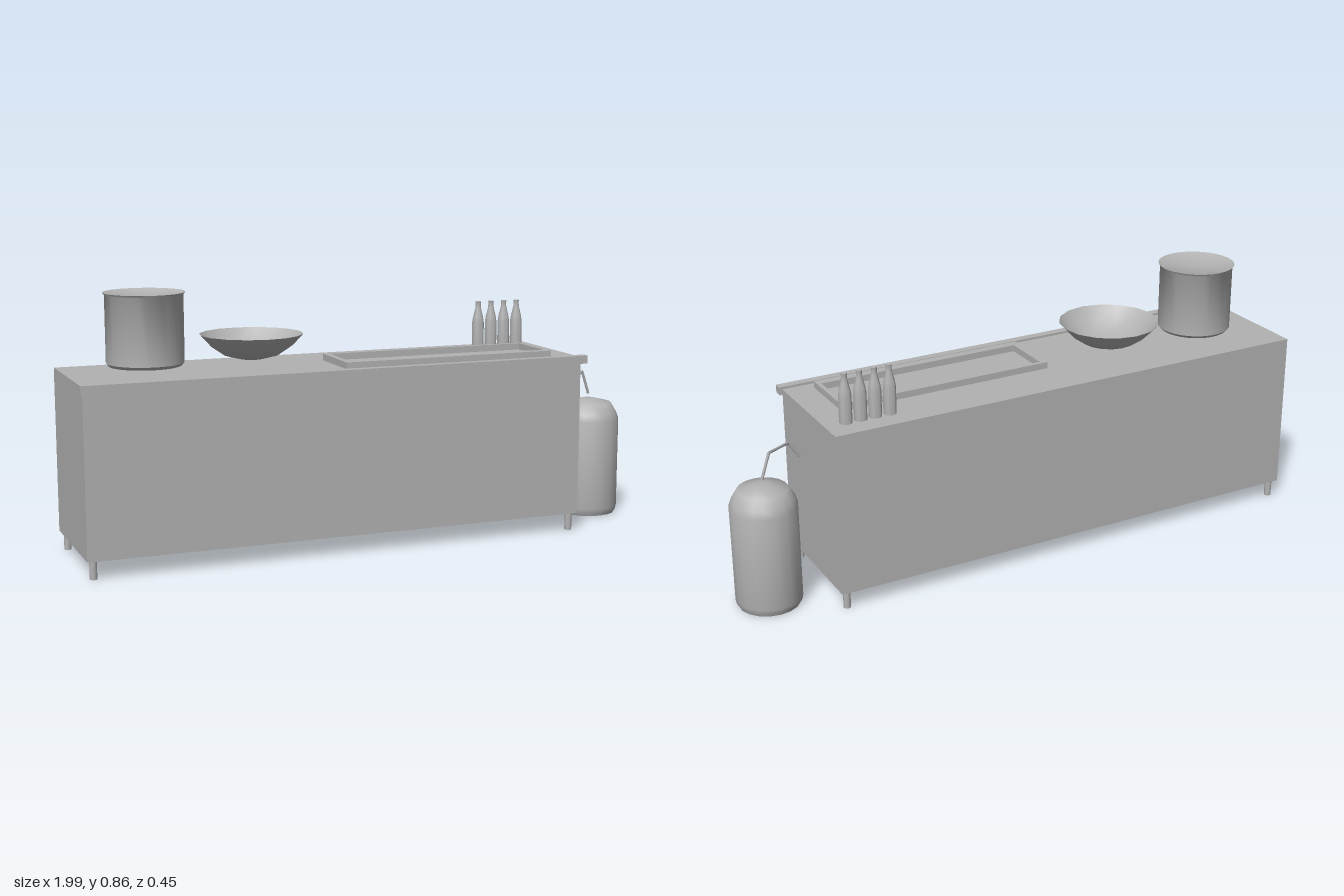
import * as THREE from 'three';
import { toCreasedNormals } from 'three/addons/utils/BufferGeometryUtils.js';

export function createModel() {
  const group = new THREE.Group();
  const steel = new THREE.MeshStandardMaterial({ color: 0xb2b2b2, side: THREE.DoubleSide });
  steel.name = 'brushed grey';

  const add = (name, geometry, x = 0, y = 0, z = 0) => {
    const mesh = new THREE.Mesh(geometry, steel);
    mesh.name = name;
    mesh.position.set(x, y, z);
    group.add(mesh);
    return mesh;
  };
  // Box given by its min and max corners
  const block = (name, [x0, y0, z0], [x1, y1, z1]) =>
    add(name, new THREE.BoxGeometry(x1 - x0, y1 - y0, z1 - z0),
      (x0 + x1) / 2, (y0 + y1) / 2, (z0 + z1) / 2);
  // Turned solid from [radius, height] pairs, listed bottom to top
  const turned = (profile, sides, crease = 0.7) => toCreasedNormals(
    new THREE.LatheGeometry(profile.map(([r, y]) => new THREE.Vector2(r, y)), sides), crease);

  // Counter cabinet, open underneath
  const cabinet = block('cabinet', [-0.99, 0.06, -0.225], [0.71, 0.602, 0.2]);
  const faces = Array.from(cabinet.geometry.index.array);
  faces.splice(18, 6);
  cabinet.geometry.setIndex(faces);
  cabinet.geometry.clearGroups();

  // Rail along the front edge
  block('frontRail', [-1, 0.583, 0.2], [0.72, 0.61, 0.229]);

  // Legs
  for (const x of [-0.968, 0.687])
    for (const z of [-0.203, 0.179])
      add('leg', new THREE.CylinderGeometry(0.012, 0.012, 0.06, 12), x, 0.03, z);

  // Raised griddle frame around a sunken cooking surface
  const rect = (path, x0, x1, z0, z1) => path
    .moveTo(x0, -z0).lineTo(x1, -z0).lineTo(x1, -z1).lineTo(x0, -z1).closePath();
  const frame = new THREE.Shape();
  rect(frame, -0.125, 0.615, -0.055, 0.164);
  const opening = new THREE.Path();
  rect(opening, -0.104, 0.601, -0.041, 0.135);
  frame.holes.push(opening);
  const frameGeometry = new THREE.ExtrudeGeometry(frame, { depth: 0.022, bevelEnabled: false });
  frameGeometry.rotateX(-Math.PI / 2);
  add('griddleFrame', frameGeometry, 0, 0.602, 0);

  // Stock pot with a lip and shallow dished lid
  add('pot', turned([[0, 0.625], [0.115, 0.625], [0.124, 0.635], [0.124, 0.85],
    [0.13, 0.858], [0.121, 0.853], [0, 0.845]], 32), -0.74, 0, -0.014);

  // Wide open bowl
  add('bowl', turned([[0, 0.625], [0.04, 0.628], [0.09, 0.641], [0.135, 0.672],
    [0.169, 0.709]], 16, 1), -0.387, 0, -0.016);

  // Row of bottles
  const bottle = turned([[0, 0.602], [0.021, 0.602], [0.021, 0.69], [0.018, 0.71],
    [0.01, 0.742], [0.009, 0.757], [0.01, 0.765], [0, 0.765]], 14);
  for (let i = 0; i < 4; i++) add('bottle', bottle, 0.489 + i * 0.0497, 0, -0.14);

  // Gas tank
  add('gasTank', turned([[0, 0], [0.1, 0], [0.105, 0.01], [0.108, 0.025], [0.108, 0.34],
    [0.1, 0.363], [0.08, 0.397], [0.025, 0.411], [0, 0.411]], 18, 0.9), 0.887, 0, -0.048);

  // Bent gas pipe between tank and counter
  const bends = [[0.718, 0.427, 0.057], [0.755, 0.48, 0.058], [0.858, 0.511, -0.047],
    [0.887, 0.41, -0.05]].map((p) => new THREE.Vector3(...p));
  bends[3].y = 0.428;
  const pipe = new THREE.CurvePath();
  for (let i = 0; i < 3; i++) pipe.add(new THREE.LineCurve3(bends[i], bends[i + 1]));
  add('gasPipe', new THREE.TubeGeometry(pipe, 60, 0.0045, 8));

  return group;
}
